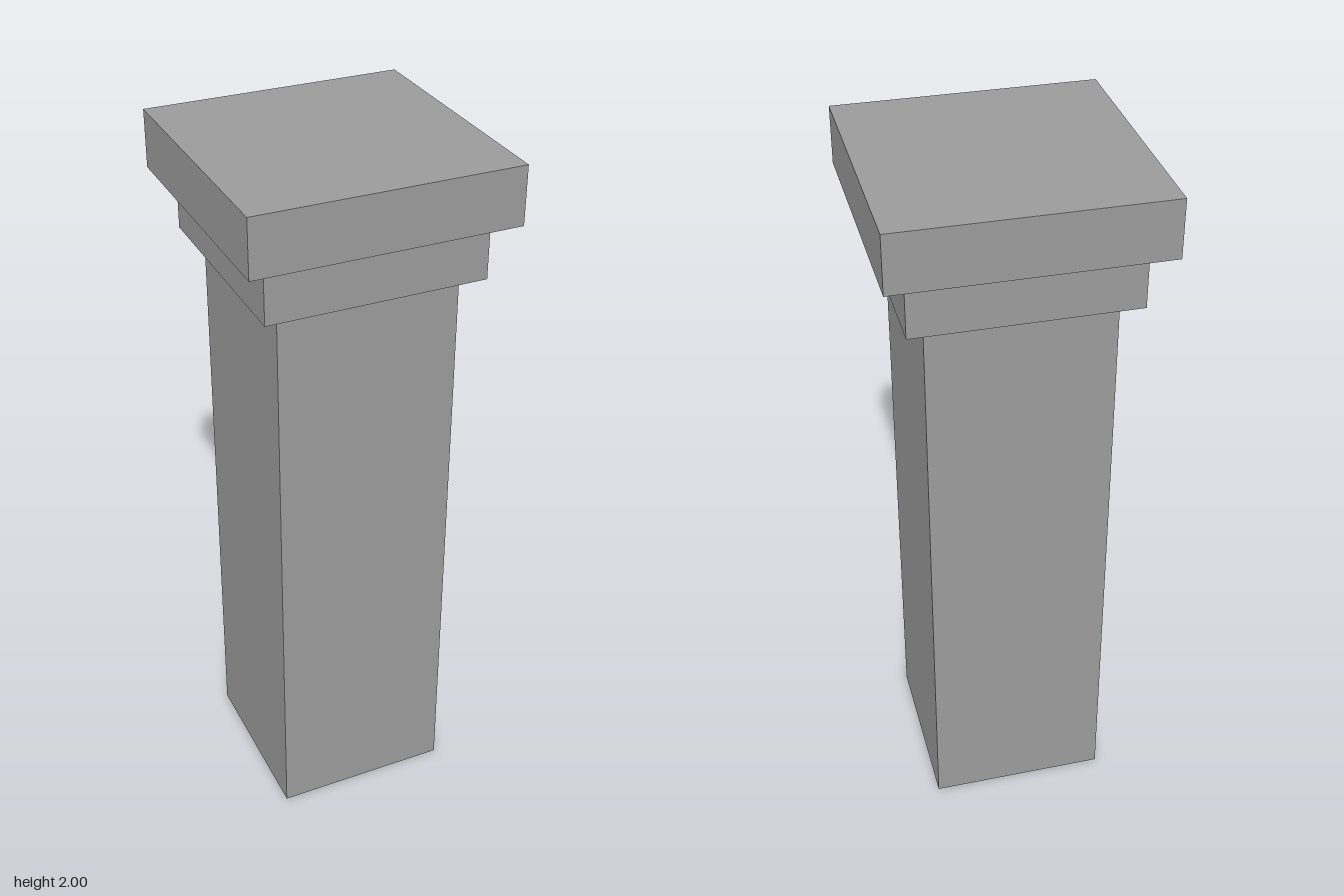
import * as THREE from 'three';

export function createModel() {
  const group = new THREE.Group();
  const material = new THREE.MeshStandardMaterial({ color: 0x9b9b9b });

  // Square block of a given width, spanning two heights
  function addBlock(name, width, bottom, top) {
    const mesh = new THREE.Mesh(new THREE.BoxGeometry(width, top - bottom, width), material);
    mesh.name = name;
    mesh.position.y = (bottom + top) / 2;
    group.add(mesh);
  }

  // Pillar shaft with a two-step capital
  addBlock('shaft', 0.506, 0, 1.678);
  addBlock('lowerCapital', 0.61, 1.678, 1.839);
  addBlock('upperCapital', 0.729, 1.839, 2);

  return group;
}
